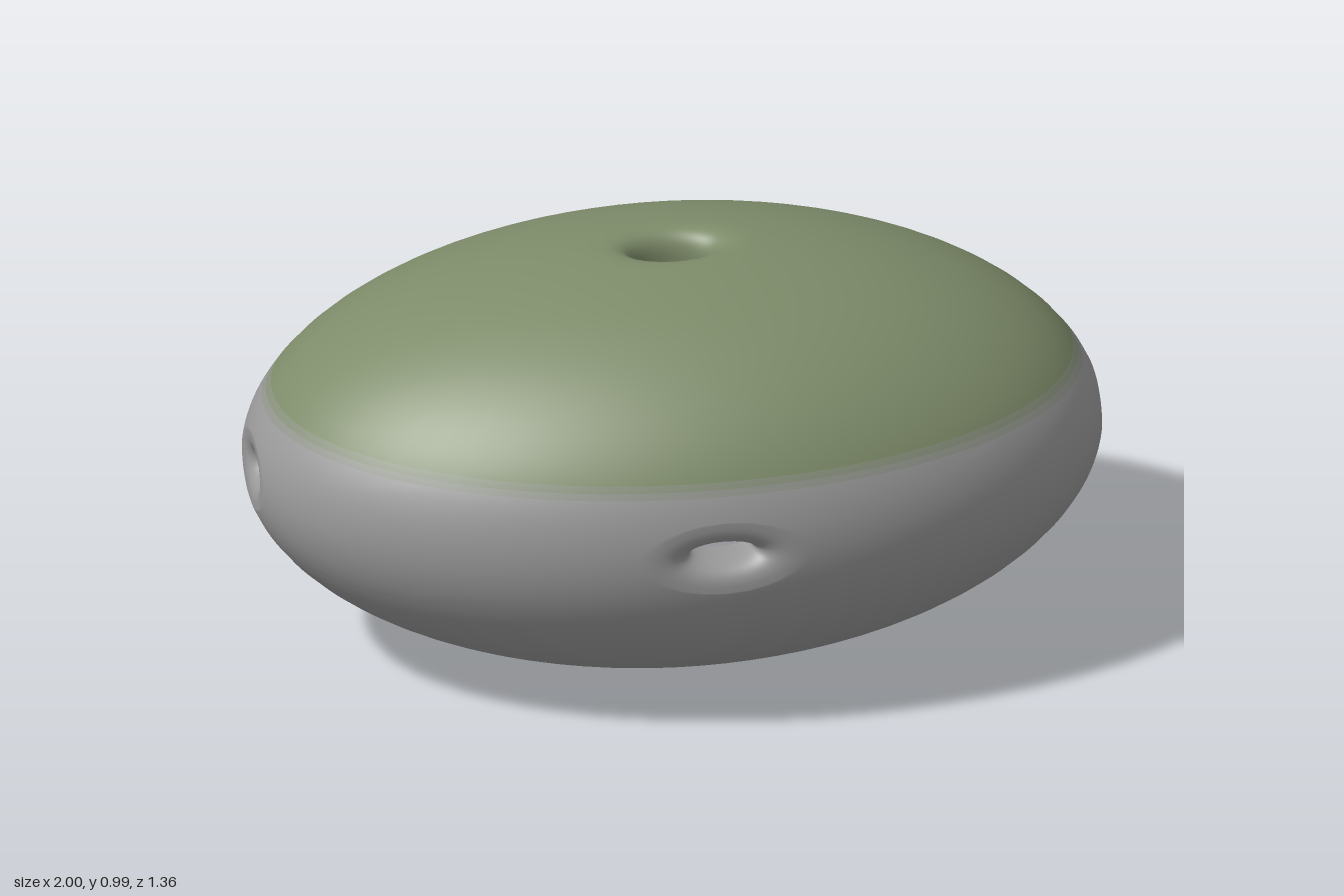
import * as THREE from 'three';
import { mergeVertices } from 'three/addons/utils/BufferGeometryUtils.js';

const SEMI = new THREE.Vector3(1.016, 0.503, 0.692); // ellipsoid half axes
const CENTRE_Y = 0.495;
const CAP = 0.3;     // unit height of the colour border
const LIP = 0.18;    // unit radius where a hole starts to dip
const DIP = 0.16;    // unit depth of a hole's rolled rim
const ROLL = 0.67;   // exponent that tightens the rim's bend
const EDGE = 16, N = EDGE * 4, ROWS = 28, FUNNEL = 14;
const GREEN = 0x7e8c6a, GREY = 0x999999;

// Outer border of a patch in its own frame (right, up, out)
function capBorder(k) {
  const a = (k / N) * Math.PI * 2, s = Math.sqrt(1 - CAP * CAP);
  return new THREE.Vector3(s * Math.cos(a), s * Math.sin(a), CAP);
}
function sideBorder(k) {
  const t = (k % EDGE) / EDGE * 2 - 1;
  const [u, v] = [[t, -1], [1, t], [-t, 1], [-1, -t]][Math.floor(k / EDGE)];
  const lon = u * Math.PI / 4, lat = v * Math.asin(CAP);
  return new THREE.Vector3(Math.cos(lat) * Math.sin(lon), Math.sin(lat), Math.cos(lat) * Math.cos(lon));
}

// One patch of the shell: rings from the border to the hole, then the rolled rim
function addPatch(positions, indices, border, right, up, throatW, throatH) {
  const frame = new THREE.Matrix4().makeBasis(right, up, right.clone().cross(up));
  const base = positions.length / 3;
  const lipZ = Math.sqrt(1 - LIP * LIP);
  for (let j = 0; j <= ROWS + FUNNEL; j++) {
    for (let k = 0; k < N; k++) {
      const p = border(k), a = Math.atan2(p.y, p.x);
      const c = Math.cos(a), s = Math.sin(a);
      if (j <= ROWS) {
        p.lerp(new THREE.Vector3(LIP * c, LIP * s, lipZ), j / ROWS).normalize();
      } else {
        const f = (j - ROWS) / FUNNEL * Math.PI / 2;
        const m = 1 - Math.sin(f) ** ROLL;
        const depth = DIP * (1 - Math.max(0, Math.cos(f)) ** ROLL);
        p.set((throatW + (LIP - throatW) * m) * c, (throatH + (LIP - throatH) * m) * s, lipZ - depth);
      }
      p.applyMatrix4(frame).multiply(SEMI);
      positions.push(p.x, p.y + CENTRE_Y, p.z);
    }
  }
  for (let j = 0; j < ROWS + FUNNEL; j++) {
    for (let k = 0; k < N; k++) {
      const n = (k + 1) % N;
      const a = base + j * N + k, b = base + j * N + n;
      indices.push(a, b, b + N, a, b + N, a + N);
    }
  }
}

export function createModel() {
  const V = (x, y, z) => new THREE.Vector3(x, y, z);
  const positions = [], indices = [];

  // Top cap, then bottom cap and the four sides
  addPatch(positions, indices, capBorder, V(1, 0, 0), V(0, 0, -1), 0.09, 0.08);
  const capCount = indices.length;
  addPatch(positions, indices, capBorder, V(1, 0, 0), V(0, 0, 1), 0.09, 0.08);
  for (const s of [1, -1]) {
    addPatch(positions, indices, sideBorder, V(s, 0, 0), V(0, 1, 0), 0.07, 0.04);
    addPatch(positions, indices, sideBorder, V(0, 0, -s), V(0, 1, 0), 0.037, 0.026);
  }

  // Weld the patches so shading runs smoothly across every seam
  let shell = new THREE.BufferGeometry();
  shell.setAttribute('position', new THREE.Float32BufferAttribute(positions, 3));
  shell.setIndex(indices);
  shell = mergeVertices(shell, 1e-4);
  shell.computeVertexNormals();

  // Split the welded shell into its coloured parts
  const group = new THREE.Group();
  group.name = 'piercedEllipsoid';
  const welded = Array.from(shell.index.array);
  const addPart = (name, color, start, end) => {
    const part = new THREE.BufferGeometry();
    part.setAttribute('position', shell.attributes.position.clone());
    part.setAttribute('normal', shell.attributes.normal.clone());
    part.setIndex(welded.slice(start, end));
    const mesh = new THREE.Mesh(part, new THREE.MeshStandardMaterial({ color }));
    mesh.name = name;
    group.add(mesh);
  };
  addPart('lowerShell', GREY, capCount, welded.length);

  // Narrow bands fade the grey into the green
  const bands = 2, row = N * 6;
  for (let i = 0; i < bands; i++) {
    const blend = new THREE.Color(GREY).lerp(new THREE.Color(GREEN), (i + 1) / (bands + 1));
    addPart('fadeBand' + (i + 1), blend, i * row, (i + 1) * row);
  }
  addPart('upperShell', GREEN, bands * row, capCount);
  return group;
}
